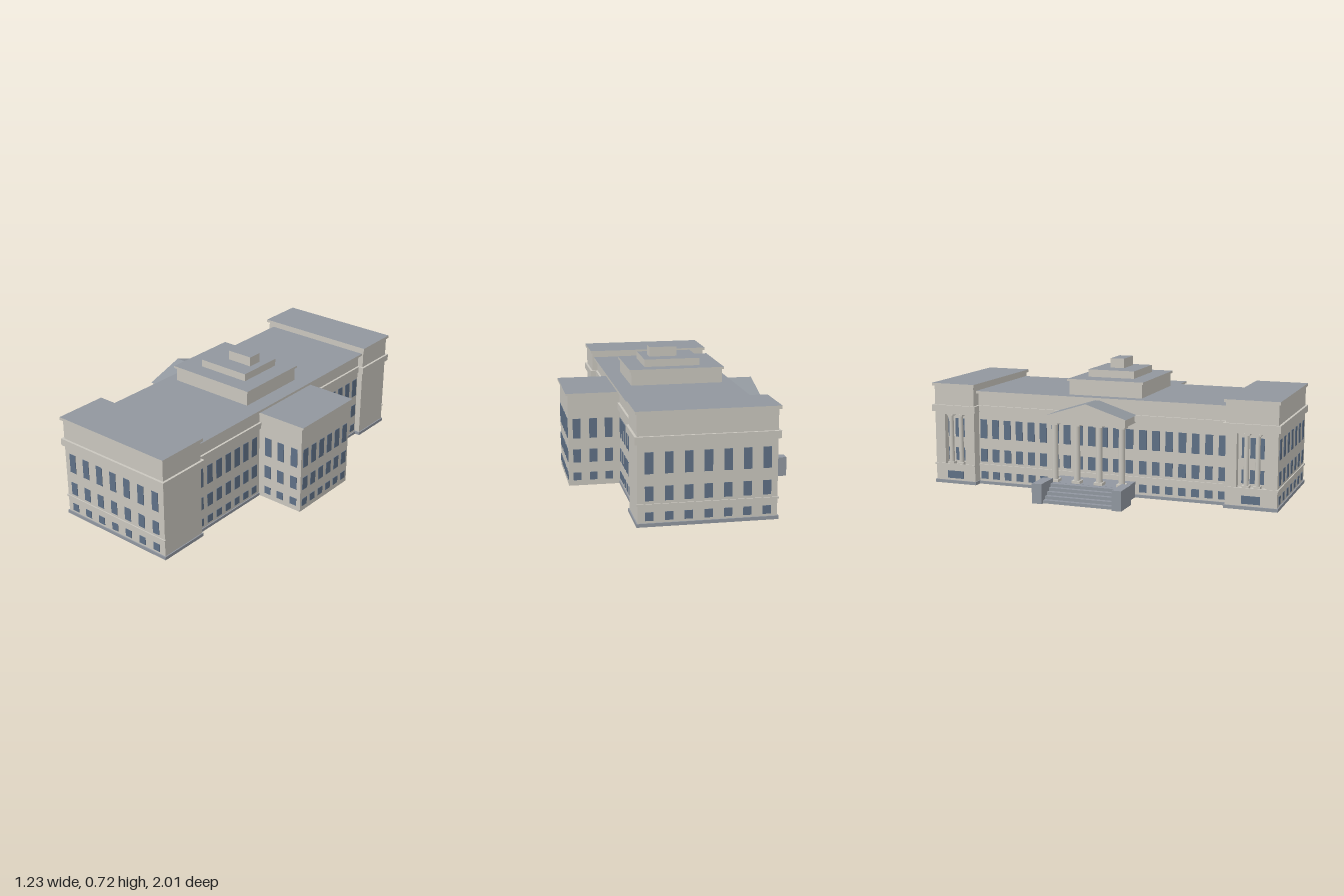
import * as THREE from 'three';

const mat = (name, color, side = THREE.FrontSide) => {
  const m = new THREE.MeshStandardMaterial({ color, side });
  m.name = name;
  return m;
};

export function createModel() {
  const model = new THREE.Group();
  model.name = 'columnedPublicBuilding';
  const wall = mat('cream stone', 0xc9c6be, THREE.DoubleSide);
  const roof = mat('grey roof', 0x91979e);
  const base = mat('grey base stone', 0x9197a0);
  const glass = mat('blue glass', 0x5f7086);

  const add = (name, geo, material, parent = model) => {
    const m = new THREE.Mesh(geo, material);
    m.name = name;
    parent.add(m);
    return m;
  };
  const group = (name) => {
    const g = new THREE.Group();
    g.name = name;
    model.add(g);
    return g;
  };

  // Box given by its limits; top may take another colour, open drops the underside
  const box = (name, [x0, x1], [y0, y1], [z0, z1], side, parent, { top = side, open = false } = {}) => {
    const geo = new THREE.BoxGeometry(x1 - x0, y1 - y0, z1 - z0);
    geo.translate((x0 + x1) / 2, (y0 + y1) / 2, (z0 + z1) / 2);
    if (open) geo.groups = geo.groups.filter((g) => g.materialIndex !== 3);
    return add(name, geo, [side, side, top, side, side, side], parent);
  };

  // Rectangular ring around a block, projecting by out
  const band = (name, [x0, x1], [y0, y1], [z0, z1], out, material, parent) => {
    const rect = (S, o) => new S().moveTo(x0 - o, -z0 + o).lineTo(x1 + o, -z0 + o)
      .lineTo(x1 + o, -z1 - o).lineTo(x0 - o, -z1 - o).closePath();
    const s = rect(THREE.Shape, out);
    s.holes.push(rect(THREE.Path, -0.002));
    const geo = new THREE.ExtrudeGeometry(s, { depth: y1 - y0, bevelEnabled: false });
    geo.rotateX(-Math.PI / 2).translate(0, y0, 0);
    add(name, geo, material, parent);
  };

  // Three storeys of thin window panes on a wall facing along x or z
  const storeys = [[0.03, 0.073], [0.13, 0.203], [0.265, 0.373]];
  const windows = (axis, at, centres, parent, rows = storeys, w = 0.042) => {
    for (const c of centres) for (const [y0, y1] of rows) {
      const along = [c - w / 2, c + w / 2];
      const thick = [at - 0.003, at + 0.003];
      box('window', axis === 'x' ? thick : along, [y0, y1], axis === 'x' ? along : thick, glass, parent);
    }
  };
  const series = (n, from, step) => Array.from({ length: n }, (_, i) => from + i * step);

  const column = (x, z, y0, y1, r, parent) => {
    const shaft = new THREE.CylinderGeometry(r * 0.9, r, y1 - y0 - 0.025, 20);
    shaft.translate(x, (y0 + y1 + 0.005) / 2, z);
    add('columnShaft', shaft, wall, parent);
    const p = r * 1.35;
    box('columnBase', [x - p, x + p], [y0, y0 + 0.015], [z - p, z + p], wall, parent);
    box('columnCapital', [x - p, x + p], [y1 - 0.01, y1], [z - p, z + p], wall, parent);
  };

  // Long central range
  const main = group('centralRange');
  const mx = [-0.3, 0.32], mz = [-0.74, 0.71];
  box('centralWalls', mx, [0, 0.523], mz, wall, main, { open: true });
  band('centralPlinth', mx, [0, 0.016], mz, 0.006, base, main);
  band('centralEntablature', mx, [0.418, 0.453], mz, 0.012, wall, main);
  box('centralCornice', [-0.32, 0.34], [0.523, 0.536], [-0.755, 0.715], wall, main, { top: roof });
  box('stringCourse', [-0.308, -0.3], [0.105, 0.115], mz, wall, main);
  windows('x', 0.32, series(7, 0.685, -0.0735), main);
  windows('x', 0.32, series(7, -0.268, -0.0735), main);
  windows('x', -0.3, series(7, 0.685, -0.0735), main);
  windows('x', -0.3, series(7, -0.268, -0.0735), main);
  windows('x', -0.3, series(6, 0.167, -0.073), main, storeys.slice(1));

  // Stepped rooftop
  const tiers = group('rooftopTiers');
  box('lowerTier', [-0.255, 0.25], [0.536, 0.612], [-0.2, 0.22], wall, tiers);
  box('lowerTierCornice', [-0.265, 0.26], [0.612, 0.624], [-0.21, 0.23], wall, tiers, { top: roof });
  box('middleTier', [-0.143, 0.165], [0.624, 0.665], [-0.133, 0.135], wall, tiers, { top: roof });
  box('upperTier', [-0.03, 0.122], [0.665, 0.718], [-0.045, 0.036], wall, tiers, { top: roof });

  // End pavilions, each with a columned recess on the entrance side
  for (const [z0, z1, end] of [[0.712, 0.99, 1], [-0.99, -0.745, -1]]) {
    const g = group(end > 0 ? 'frontPavilion' : 'backPavilion');
    const ex = [-0.35, 0.35], ez = [z0, z1], front = [-0.35, -0.312];
    const outer = end > 0 ? z1 : z0;
    const r0 = z0 + 0.06, r1 = z1 - 0.06, mid = (z0 + z1) / 2;
    box('pavilionWalls', [-0.312, 0.35], [0, 0.56], ez, wall, g, { open: true });
    box('recessSill', front, [0, 0.11], ez, wall, g, { open: true });
    box('recessHead', front, [0.4, 0.56], ez, wall, g);
    box('recessPier', front, [0.11, 0.4], [z0, r0], wall, g);
    box('recessPier', front, [0.11, 0.4], [r1, z1], wall, g);
    for (const s of [-1, 1]) column(-0.333, mid + s * 0.03, 0.11, 0.4, 0.014, g);
    windows('x', -0.312, [mid - 0.045, mid, mid + 0.045], g, storeys.slice(1), 0.03);
    windows('x', -0.35, [mid], g, storeys.slice(0, 1), 0.1);
    band('pavilionPlinth', ex, [0, 0.018], ez, 0.006, base, g);
    band('pavilionEntablature', ex, [0.414, 0.452], ez, 0.013, wall, g);
    box('pavilionCornice', [-0.363, 0.36], [0.56, 0.576],
      end > 0 ? [0.703, 1] : [-1, -0.735], wall, g, { top: roof });
    box('stringCourse', [-0.356, 0.354], [0.105, 0.115], [outer - 0.006, outer + 0.006], wall, g);
    box('stringCourse', [-0.356, -0.35], [0.105, 0.115], ez, wall, g);
    windows('z', outer, series(7, -0.296, 0.098), g);
  }

  // Projecting wing on the left side
  const wing = group('sideWing');
  const wz = [-0.235, 0.2];
  box('wingWalls', [0.32, 0.602], [0, 0.502], wz, wall, wing, { open: true });
  box('wingCornice', [0.32, 0.614], [0.502, 0.514], [-0.245, 0.207], wall, wing, { top: roof });
  windows('x', 0.602, series(6, 0.163, -0.072), wing);
  for (const z of wz) windows('z', z, [0.382, 0.467, 0.556], wing);

  // Entrance portico
  const portico = group('entrancePortico');
  box('porticoFloor', [-0.462, -0.3], [0, 0.086], [-0.24, 0.2], base, portico);
  for (const z of series(4, -0.212, 0.128)) column(-0.434, z, 0.086, 0.41, 0.018, portico);
  box('porticoEntablature', [-0.465, -0.3], [0.41, 0.452], [-0.24, 0.2], wall, portico);
  const gable = new THREE.Shape().moveTo(-0.247, 0.452).lineTo(0.207, 0.452).lineTo(-0.02, 0.524).closePath();
  const pediment = new THREE.ExtrudeGeometry(gable, { depth: 0.17, bevelEnabled: false });
  pediment.rotateY(-Math.PI / 2).translate(-0.3, 0, 0);
  add('pediment', pediment, [wall, roof], portico);

  // Entrance stairs between low side walls
  const stairs = group('entranceStairs');
  for (let i = 0; i < 5; i++) {
    box('step', [-0.595 + i * 0.025, -0.462], [i * 0.017, (i + 1) * 0.017], [-0.215, 0.183], base, stairs);
  }
  for (const z of [[-0.27, -0.214], [0.182, 0.235]]) {
    box('stairSideWall', [-0.616, -0.462], [0, 0.108], z, base, stairs);
  }
  return model;
}
